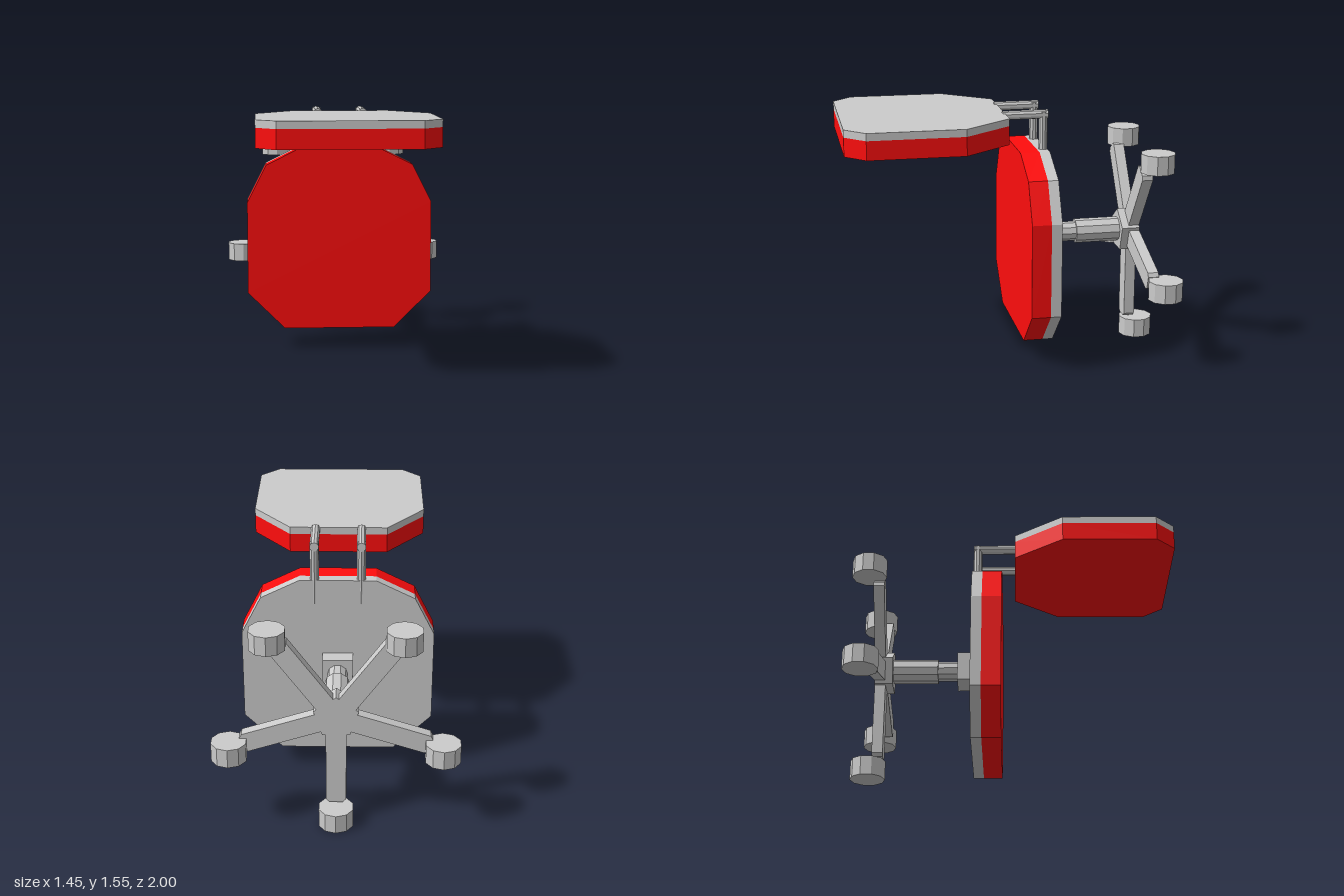
import * as THREE from 'three';

const grey = new THREE.MeshStandardMaterial({ color: 0xcccccc, flatShading: true });
const red = new THREE.MeshStandardMaterial({ color: 0xff0d0d, flatShading: true });

// Flat polygon from its +x half outline, mirrored and extruded along +z
function slab(half, depth) {
  const mirrored = half.map(([x, y]) => [-x, y]).reverse();
  const pts = [...half, ...mirrored].map(([x, y]) => new THREE.Vector2(x, y));
  return new THREE.ExtrudeGeometry(new THREE.Shape(pts), { depth, bevelEnabled: false });
}

export function createModel() {
  const model = new THREE.Group();
  const add = (name, geometry, material, x = 0, y = 0, z = 0, parent = model) => {
    const mesh = new THREE.Mesh(geometry, material);
    mesh.name = name;
    mesh.position.set(x, y, z);
    parent.add(mesh);
    return mesh;
  };
  const hubY = 0.717;

  // Seat: grey shell behind, red cushion in front
  const seat = [[0.35, 0.137], [0.585, 0.37], [0.585, 0.95], [0.465, 1.188], [0.23, 1.305]];
  add('seatShell', slab(seat, 0.065), grey, 0, 0, -0.258);
  add('seatCushion', slab(seat, 0.118), red, 0, 0, -0.193);

  // Backrest: grey shell on top, red cushion below
  const back = [[0.295, 0.005], [0.527, 0.3], [0.527, 0.88], [0.41, 1]];
  add('backrestShell', slab(back, 0.045).rotateX(Math.PI / 2), grey, 0, 1.536, 0);
  add('backrestCushion', slab(back, 0.115).rotateX(Math.PI / 2), red, 0, 1.491, 0);

  // Pair of bent rods joining seat and backrest
  for (const x of [-0.14, 0.14]) {
    add('uprightRod', new THREE.CylinderGeometry(0.028, 0.028, 0.39, 10), grey, x, 1.345, -0.232);
    add('backrestRod', new THREE.CylinderGeometry(0.028, 0.028, 0.28, 10).rotateX(Math.PI / 2), grey, x, 1.522, -0.12);
  }

  // Mounting block and telescopic column
  add('seatMount', new THREE.BoxGeometry(0.185, 0.185, 0.097), grey, 0, 0.722, -0.306);
  const column = (name, r, z0, z1) => add(name,
    new THREE.CylinderGeometry(r, r, z0 - z1, 10).rotateY(Math.PI / 2).rotateX(Math.PI / 2),
    grey, 0, 0.722, (z0 + z1) / 2);
  column('columnRod', 0.062, -0.35, -0.48);
  column('columnSleeve', 0.077, -0.475, -0.76);

  // Five-sided hub with a vertex pointing up
  const corners = Array.from({ length: 5 }, (_, i) => {
    const a = Math.PI / 2 + i * Math.PI * 0.4;
    return new THREE.Vector2(0.138 * Math.cos(a), 0.138 * Math.sin(a));
  });
  const hub = new THREE.ExtrudeGeometry(new THREE.Shape(corners), { depth: 0.113, bevelEnabled: false });
  add('baseHub', hub, grey, 0, hubY, -0.868);

  // Legs with chamfered tips, and a caster at the end of each
  const leg = [[0.04, -0.58], [0.06, -0.56], [0.06, -0.108]];
  for (let i = 0; i < 5; i++) {
    const a = i * Math.PI * 0.4;
    add('baseLeg', slab(leg, 0.067), grey, 0, hubY, -0.868).rotation.z = a;
    add('caster', new THREE.CylinderGeometry(0.107, 0.107, 0.118, 10), grey,
      0.655 * Math.sin(a), hubY - 0.655 * Math.cos(a), -0.893);
  }
  return model;
}
